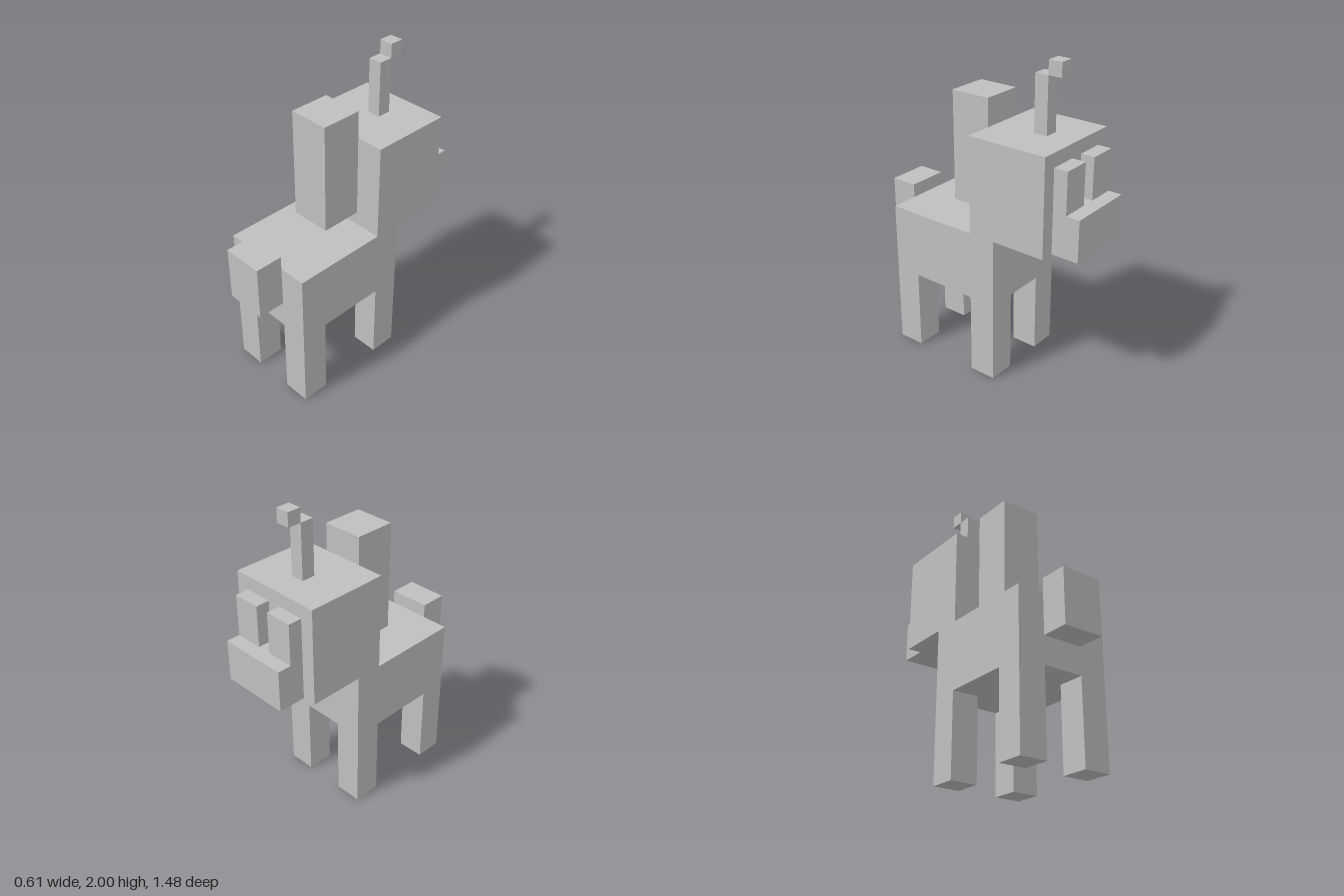
import * as THREE from 'three';

const U = 2 / 23; // one block of the grid the animal is built on

export function createModel() {
  const model = new THREE.Group();
  model.name = 'blockAnimal';

  const grey = new THREE.MeshStandardMaterial({ color: 0xbfbfbf });
  grey.name = 'plain grey';

  // Box from its minimum and maximum corners, in blocks
  function block(name, [x0, y0, z0], [x1, y1, z1]) {
    const geometry = new THREE.BoxGeometry((x1 - x0) * U, (y1 - y0) * U, (z1 - z0) * U);
    const mesh = new THREE.Mesh(geometry, grey);
    mesh.position.set((x0 + x1) / 2, (y0 + y1) / 2, (z0 + z1) / 2).multiplyScalar(U);
    mesh.name = name;
    model.add(mesh);
  }

  // Trunk and tail
  block('body', [-3.5, 6, -2.5], [3.5, 11, 6.5]);
  block('tail', [-1.5, 8, 6.5], [1.5, 12, 8.5]);

  // Head, muzzle and mane
  block('head', [-3.5, 11, -6.5], [3.5, 18, -0.5]);
  block('muzzle', [-2.5, 11, -8.5], [2.5, 14, -6.5]);
  block('mane', [-1.5, 12, -0.5], [1.5, 20, 2.5]);

  // Antenna with its offset tip
  block('antennaStalk', [-0.5, 18, -4.5], [0.5, 22, -3.5]);
  block('antennaTip', [-0.5, 22, -5.5], [0.5, 23, -4.5]);

  // Mirrored pairs: eyes above the muzzle, and legs
  for (const [side, c] of [['left', 1], ['right', -1]]) {
    const eye = c * 1.5;
    block(side + 'Eye', [eye - 1, 14, -7.5], [eye + 1, 17, -6.5]);
    const leg = c * 2.5;
    block(side + 'HeadEndLeg', [leg - 1, 0, -2.5], [leg + 1, 6, -0.5]);
    block(side + 'TailEndLeg', [leg - 1, 0, 4.5], [leg + 1, 6, 6.5]);
  }

  return model;
}
